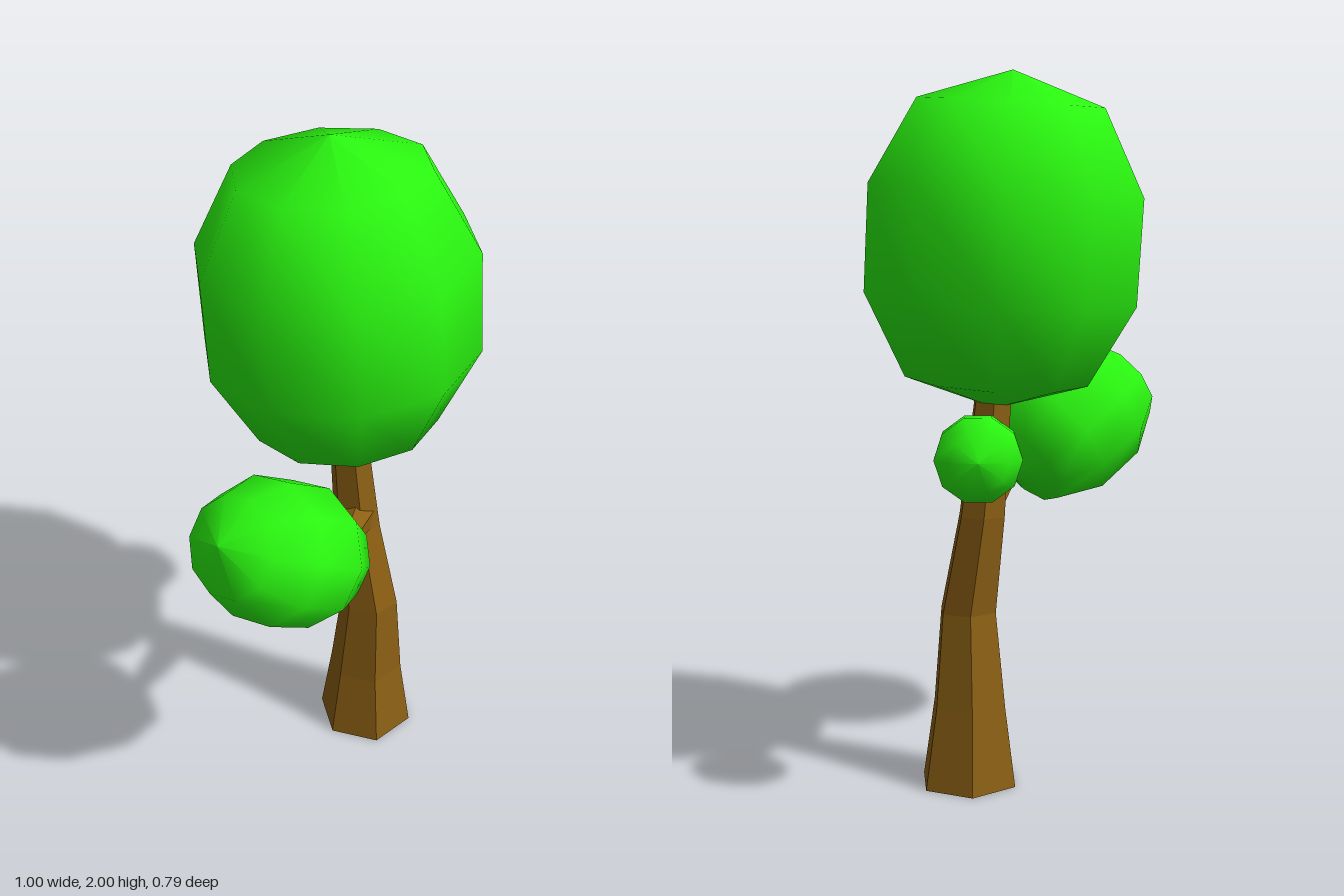
import * as THREE from 'three';

const leafMaterial = new THREE.MeshStandardMaterial({ color: 0x2af510 });
const barkMaterial = new THREE.MeshStandardMaterial({ color: 0x8c6014, flatShading: true });
const UP = new THREE.Vector3(0, 1, 0);

// Half profile of a leaf ball, pole to pole, about unit size
const leafProfile = [
  [0, -1], [0.57, -0.81], [0.835, -0.315], [0.835, 0.315], [0.57, 0.81], [0, 1],
].map(([r, y]) => new THREE.Vector2(r, y));

// Ten-sided smooth leaf ball; spin turns its corners about the long axis
function leafBall(name, center, axis, scale, spin = 0) {
  const geometry = new THREE.LatheGeometry(leafProfile, 10);
  geometry.rotateY(spin);
  geometry.scale(...scale);
  const mesh = new THREE.Mesh(geometry, leafMaterial);
  mesh.name = name;
  mesh.position.set(...center);
  mesh.quaternion.setFromUnitVectors(UP, new THREE.Vector3(...axis).normalize());
  return mesh;
}

// Tapered six-sided branch between two points
function branch(name, from, to, r0, r1) {
  const a = new THREE.Vector3(...from);
  const b = new THREE.Vector3(...to);
  const geometry = new THREE.CylinderGeometry(r1, r0, a.distanceTo(b), 6);
  const mesh = new THREE.Mesh(geometry, barkMaterial);
  mesh.name = name;
  mesh.position.copy(a).add(b).multiplyScalar(0.5);
  mesh.quaternion.setFromUnitVectors(UP, b.sub(a).normalize());
  return mesh;
}

// Bent six-sided trunk: each row of a cylinder moves to its own ring
function trunk() {
  const rings = [ // x, y, z, radius
    [0.2, 0, 0.078, 0.146],
    [0.195, 0.23, 0.08, 0.112],
    [0.19, 0.5, 0.09, 0.086],
    [0.172, 0.78, 0.045, 0.07],
    [0.14, 1.2, 0.02, 0.052],
  ];
  const geometry = new THREE.CylinderGeometry(1, 1, 1, 6, rings.length - 1);
  geometry.rotateY(Math.PI / 2);
  const p = geometry.attributes.position;
  for (let i = 0; i < p.count; i++) {
    const [x, y, z, r] = rings[Math.round((p.getY(i) + 0.5) * (rings.length - 1))];
    p.setXYZ(i, x + p.getX(i) * r, y, z + p.getZ(i) * r);
  }
  geometry.computeVertexNormals();
  const mesh = new THREE.Mesh(geometry, barkMaterial);
  mesh.name = 'trunk';
  return mesh;
}

export function createModel() {
  const tree = new THREE.Group();
  tree.name = 'tree';
  tree.add(
    trunk(),
    branch('rightBranch', [0.17, 0.81, 0.05], [-0.06, 0.885, 0.21], 0.058, 0.024),
    branch('leftBranch', [0.18, 0.93, 0.03], [0.31, 0.98, -0.15], 0.042, 0.03),
    leafBall('crown', [0.125, 1.54, 0], [-0.02, 1, -0.07], [0.46, 0.46, 0.46]),
    leafBall('rightLeaves', [-0.257, 0.99, 0.19], [-0.84, 0.54, 0], [0.237, 0.259, 0.258], Math.PI / 2),
    leafBall('leftLeaves', [0.35, 0.99, -0.2], [0.55, 0.05, -0.8], [0.138, 0.118, 0.138], 0.97),
  );
  return tree;
}
